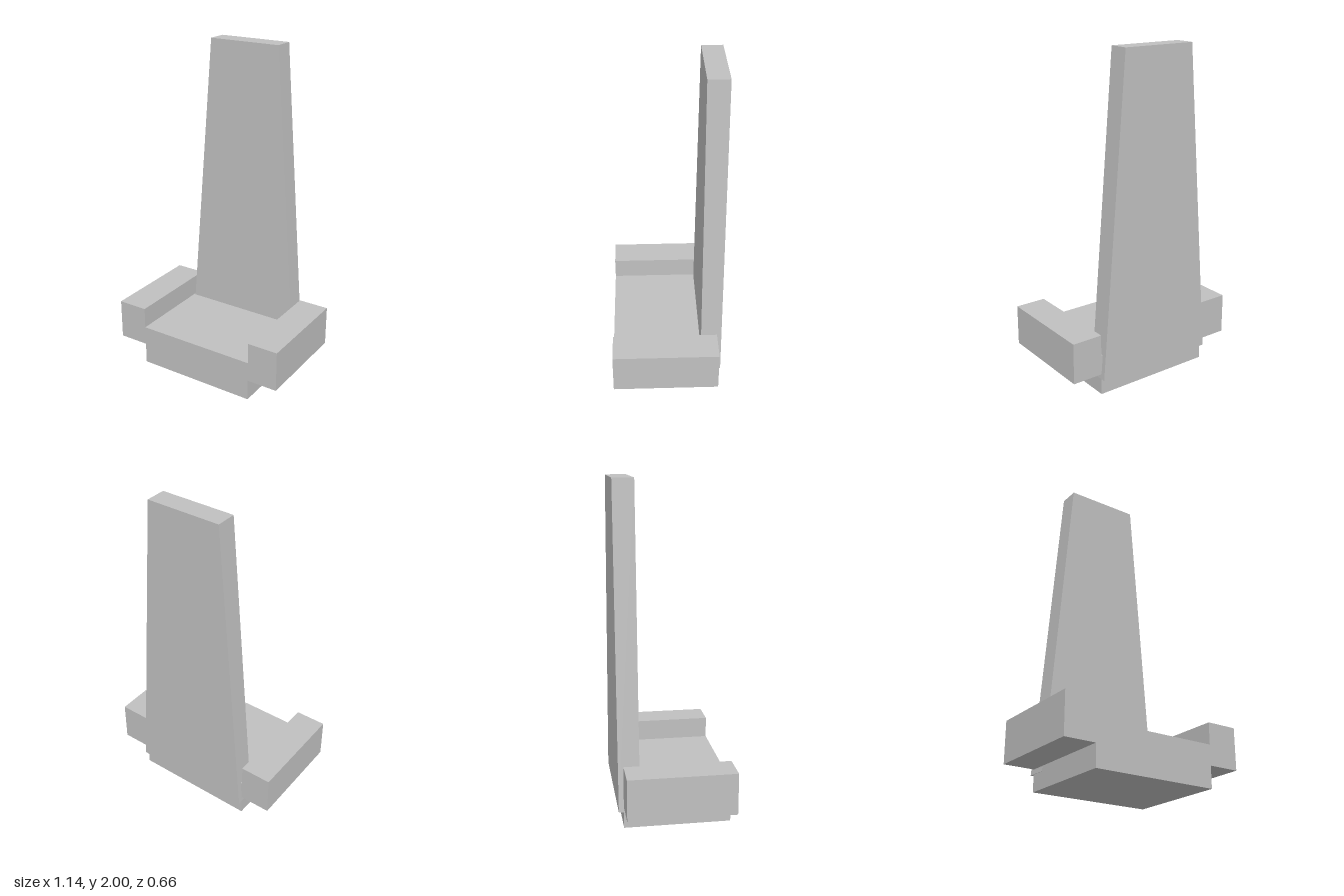
import * as THREE from 'three';

// Extrude a closed outline along z, from zBack to zFront
function slab(name, points, zBack, zFront, material) {
  const shape = new THREE.Shape(points.map(([x, y]) => new THREE.Vector2(x, y)));
  const geometry = new THREE.ExtrudeGeometry(shape, { depth: zFront - zBack, bevelEnabled: false });
  geometry.translate(0, 0, zBack);
  const mesh = new THREE.Mesh(geometry, material);
  mesh.name = name;
  return mesh;
}

// Complete a right-hand half outline (listed bottom to top) with its mirror
function mirrored(half) {
  return [...half, ...half.map(([x, y]) => [-x, y]).reverse()];
}

export function createModel() {
  const group = new THREE.Group();
  group.name = 'highBackChair';
  const grey = new THREE.MeshStandardMaterial({ color: 0xc0c0c0 });
  grey.name = 'light grey';

  // Seat block and both armrests share one cross-section
  const seatHalf = [[0.38, 0], [0.38, 0.13], [0.57, 0.13], [0.57, 0.38], [0.38, 0.38], [0.38, 0.25]];
  group.add(slab('seatAndArmrests', mirrored(seatHalf), -0.302, 0.332, grey));

  // Tall tapering backrest, set into the rear of the seat
  const backHalf = [[0.382, 0.1], [0.229, 2]];
  group.add(slab('backrest', mirrored(backHalf), -0.332, -0.207, grey));

  return group;
}
